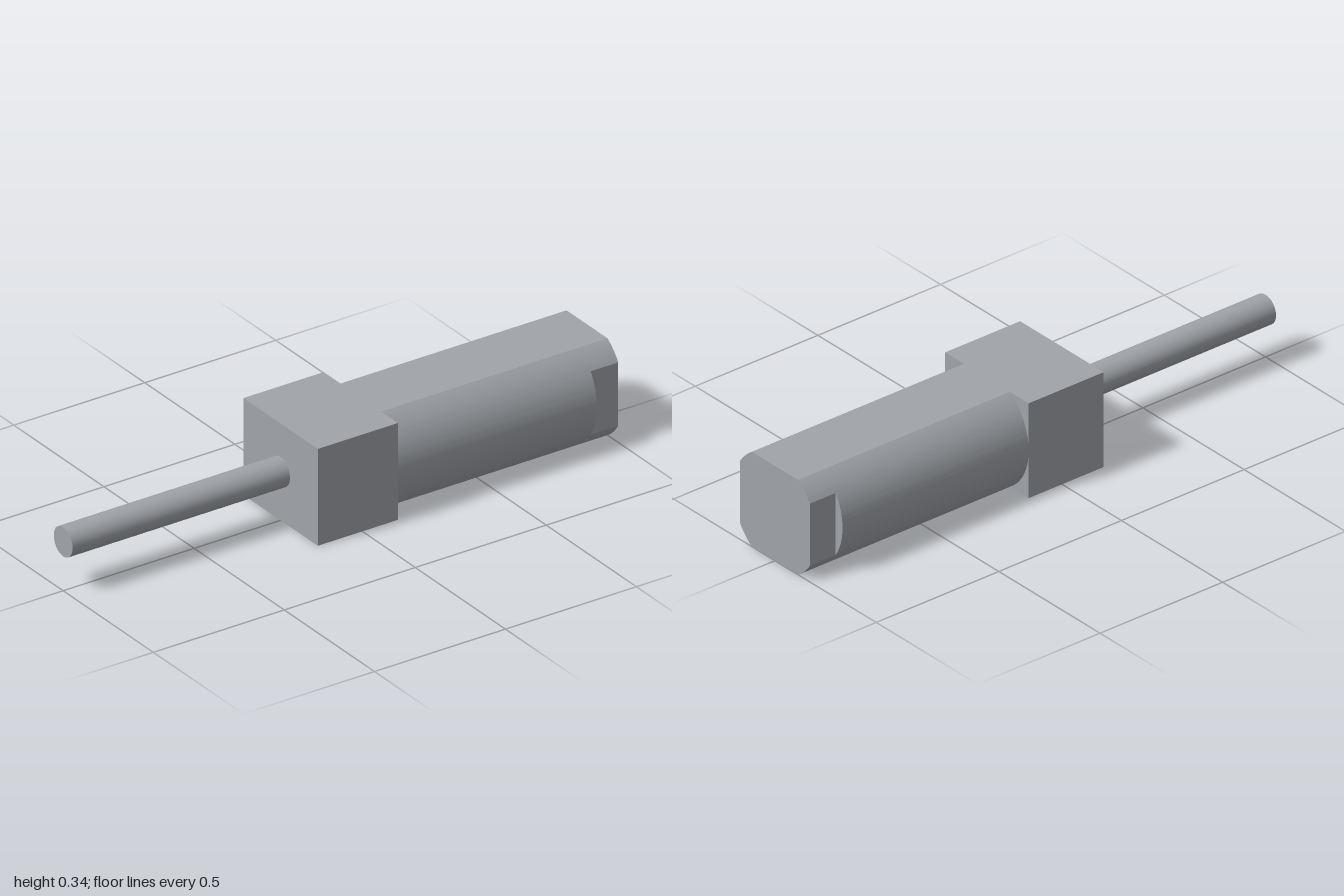
import * as THREE from 'three';
import { toCreasedNormals } from 'three/addons/utils/BufferGeometryUtils.js';

const R = 0.2065;      // barrel radius
const H = 0.345;       // height across the top and bottom flats
const MID = H / 2;     // axis height

// Circle cut by top and bottom flats, and by side flats when sideFlat < R
function barrelShape(sideFlat) {
  const a1 = Math.asin(MID / R);
  const a0 = Math.acos(Math.min(1, sideFlat / R));
  const arcs = a0 > 0
    ? [[-a1, -a0], [a0, a1], [Math.PI - a1, Math.PI - a0], [Math.PI + a0, Math.PI + a1]]
    : [[-a1, a1], [Math.PI - a1, Math.PI + a1]];
  const shape = new THREE.Shape();
  arcs.forEach(([from, to], i) => {
    if (i === 0) shape.moveTo(R * Math.cos(from), R * Math.sin(from));
    shape.absarc(0, 0, R, from, to, false);
  });
  shape.closePath();
  return shape;
}

// Extrude a cross-section along x
function barrel(sideFlat, x0, x1) {
  const geo = new THREE.ExtrudeGeometry(barrelShape(sideFlat), {
    depth: x1 - x0, bevelEnabled: false, curveSegments: 28,
  });
  geo.rotateY(Math.PI / 2);
  geo.translate(x0, MID, 0);
  return toCreasedNormals(geo, 0.3);
}

export function createModel() {
  const group = new THREE.Group();
  const steel = new THREE.MeshStandardMaterial({ color: 0xa0a4a9 });
  steel.name = 'steel';

  const add = (name, geo) => {
    const mesh = new THREE.Mesh(geo, steel);
    mesh.name = name;
    group.add(mesh);
  };

  // Rectangular block between rod and barrel
  const block = new THREE.BoxGeometry(0.306, H, 2 * R);
  block.translate(-0.017, MID, 0);
  add('block', block);

  // Flat-topped round barrel and its narrowed end
  add('barrel', barrel(R, 0.136, 0.895));
  add('barrelTip', barrel(0.173, 0.895, 1));

  // Thin rod
  const rod = new THREE.CylinderGeometry(0.052, 0.052, 0.83, 48);
  rod.rotateZ(Math.PI / 2);
  rod.translate(-0.585, MID + 0.002, 0);
  add('rod', rod);

  return group;
}
